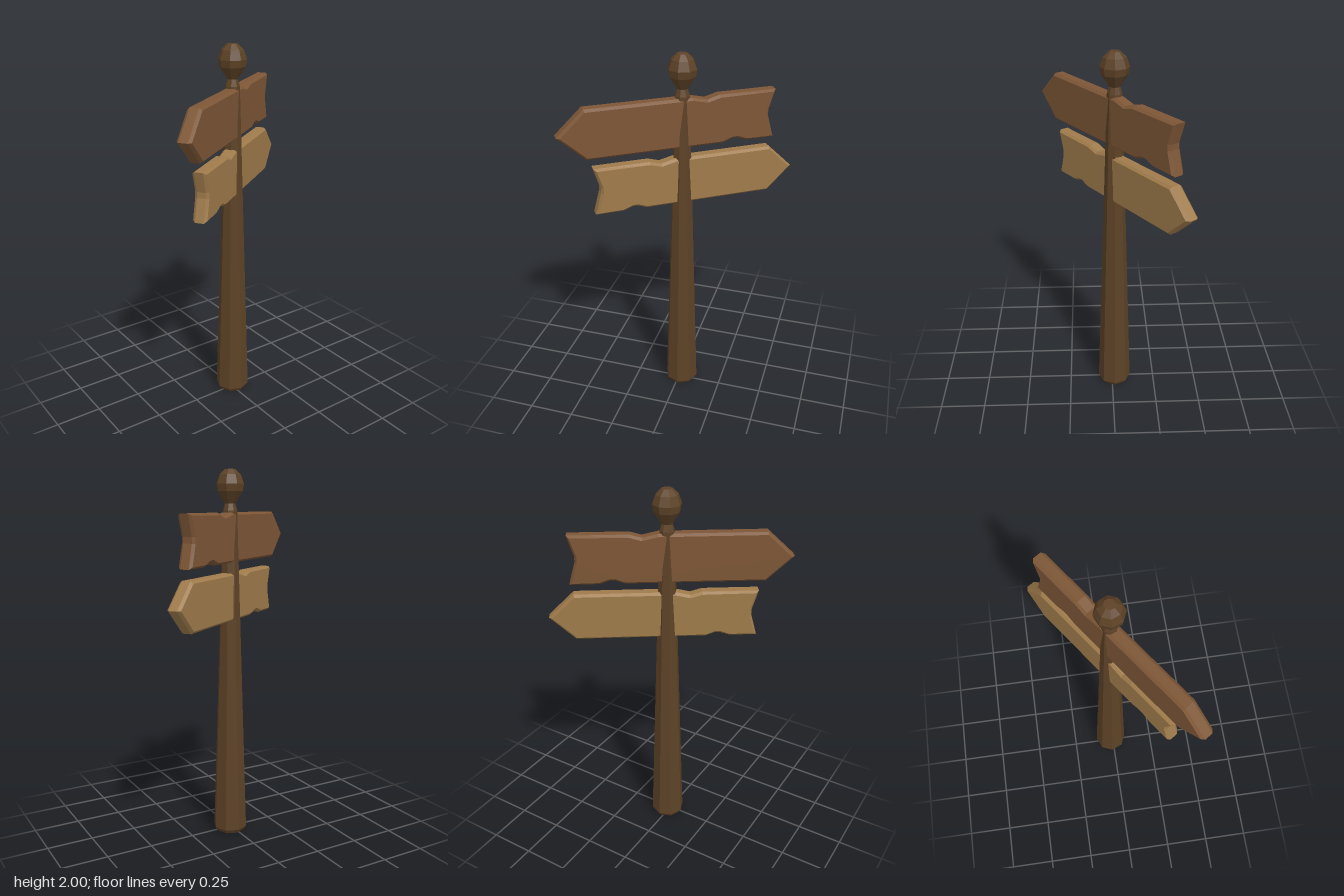
import * as THREE from 'three';

const mat = (name, color) => {
  const m = new THREE.MeshStandardMaterial({ color, flatShading: true });
  m.name = name;
  return m;
};

// Arrow board outline pointing to -x, with a notched tail and chipped edges (y centred on 0)
const OUTLINE = [
  [-0.645, 0], [-0.505, -0.13], [0.215, -0.13], [0.265, -0.111], [0.29, -0.111], [0.345, -0.13],
  [0.497, -0.13], [0.463, -0.01], [0.463, 0.02], [0.497, 0.13],
  [0.19, 0.13], [0.125, 0.112], [0.045, 0.13], [-0.505, 0.13],
];

function board(name, material, y, dir, sx, sy) {
  const pts = OUTLINE.map(([x, v]) => new THREE.Vector2(x * sx * dir, v * sy));
  const bevel = 0.014, thick = 0.074;
  const geo = new THREE.ExtrudeGeometry(new THREE.Shape(pts), {
    depth: thick - 2 * bevel, bevelEnabled: true, bevelSegments: 1,
    bevelThickness: bevel, bevelSize: 0.012, bevelOffset: -0.012,
  });
  geo.translate(0, 0, bevel - thick / 2);
  const mesh = new THREE.Mesh(geo, material);
  mesh.name = name;
  mesh.position.y = y;
  return mesh;
}

// Eight-sided turned part from [radius, height] pairs
function turned(name, material, profile) {
  const geo = new THREE.LatheGeometry(profile.map(([r, y]) => new THREE.Vector2(r, y)), 8);
  const mesh = new THREE.Mesh(geo, material);
  mesh.name = name;
  return mesh;
}

export function createModel() {
  const darkWood = mat('dark wood', 0x5d4226);
  const redWood = mat('reddish wood', 0x7d5636);
  const paleWood = mat('pale wood', 0x9f7b4b);

  const group = new THREE.Group();
  group.name = 'signpost';

  // Tapered post with chamfered foot and neck
  group.add(turned('post', darkWood, [
    [0, 0], [0.08, 0], [0.094, 0.022], [0.054, 1.3], [0.039, 1.79], [0.027, 1.83], [0, 1.83],
  ]));

  // Faceted knob
  group.add(turned('knob', darkWood, [
    [0, 1.82], [0.028, 1.825], [0.069, 1.888], [0.075, 1.925], [0.058, 1.972], [0.028, 2], [0, 2],
  ]));

  // Two boards pointing opposite ways
  const boards = new THREE.Group();
  boards.name = 'boards';
  boards.add(board('upperBoard', redWood, 1.65, 1, 1, 1));
  boards.add(board('lowerBoard', paleWood, 1.338, -1, 0.953, 0.98));
  boards.rotation.y = THREE.MathUtils.degToRad(34.7);
  group.add(boards);

  group.position.set(0.014, 0, -0.014);
  const root = new THREE.Group();
  root.add(group);
  return root;
}
